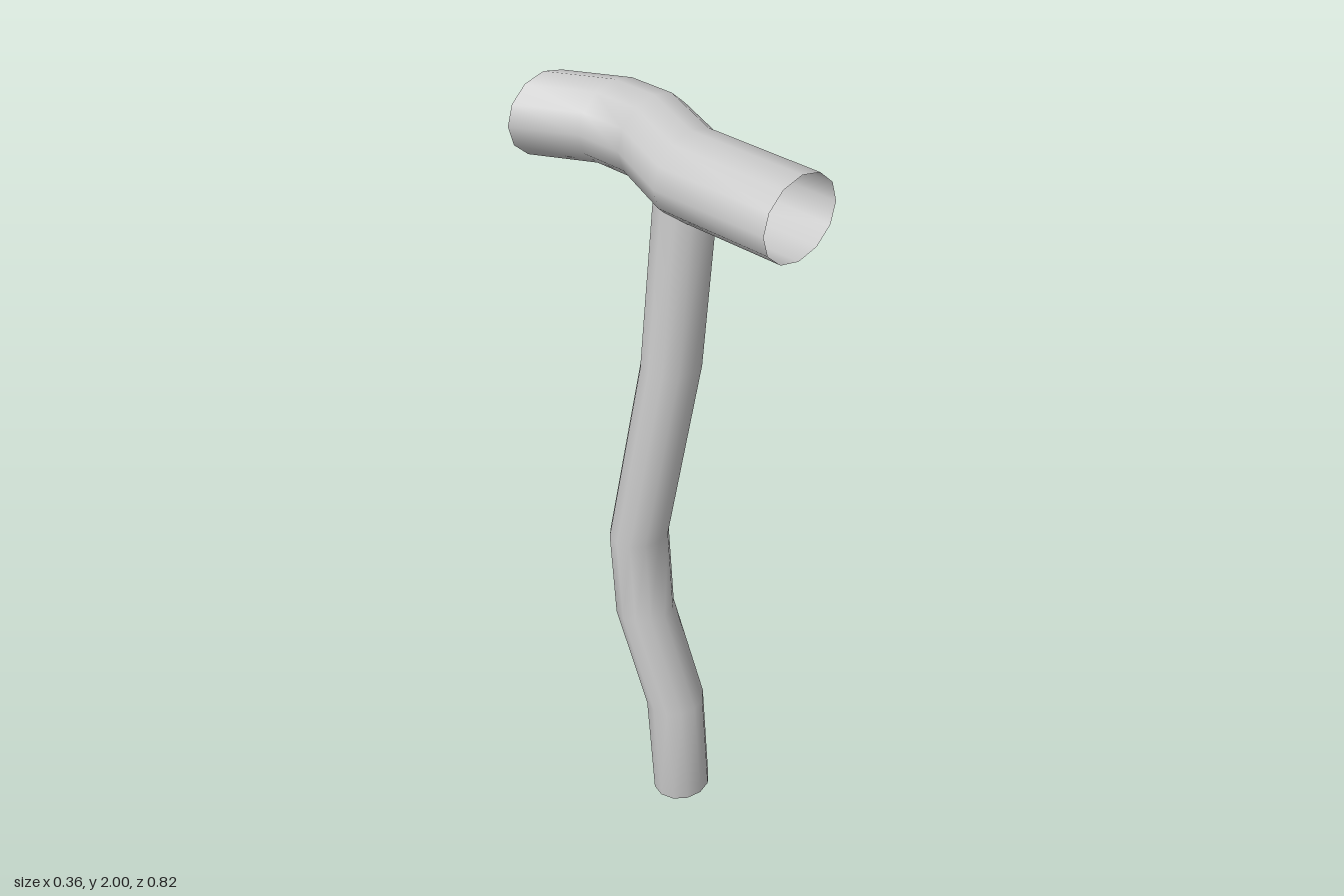
import * as THREE from 'three';

const SIDES = 12;
const material = new THREE.MeshStandardMaterial({ color: 0xcccccc, side: THREE.DoubleSide });

// Open tube lofted through parallel elliptical rings.
// u and v are the ring's half axes; u x v points along the path.
function bentTube(name, centres, u, v) {
  const positions = [], indices = [];
  const p = new THREE.Vector3();
  centres.forEach((centre, ring) => {
    for (let i = 0; i < SIDES; i++) {
      const a = (i / SIDES) * Math.PI * 2;
      p.set(...centre).addScaledVector(u, Math.cos(a)).addScaledVector(v, Math.sin(a));
      positions.push(p.x, p.y, p.z);
      if (ring === 0) continue;
      const next = (i + 1) % SIDES;
      const low = (ring - 1) * SIDES, high = ring * SIDES;
      indices.push(low + i, low + next, high + next, low + i, high + next, high + i);
    }
  });
  const geometry = new THREE.BufferGeometry();
  geometry.setAttribute('position', new THREE.Float32BufferAttribute(positions, 3));
  geometry.setIndex(indices);
  geometry.computeVertexNormals();
  const mesh = new THREE.Mesh(geometry, material);
  mesh.name = name;
  return mesh;
}

export function createModel() {
  const group = new THREE.Group();
  group.name = 'walkingStick';

  // Crooked shaft, rings level from the foot up into the handle
  group.add(bentTube('shaft', [
    [-0.04, 0, 0.07],
    [-0.073, 0.34, 0.076],
    [-0.087, 0.615, -0.022],
    [-0.097, 0.865, -0.031],
    [-0.05, 1.385, 0.041],
    [-0.029, 1.838, 0.067],
  ], new THREE.Vector3(0, 0, 0.073), new THREE.Vector3(0.083, 0, 0)));

  // Kinked hollow crossbar, rings upright from back to front
  group.add(bentTube('handle', [
    [-0.026, 1.895, -0.408],
    [0.058, 1.895, -0.252],
    [0.058, 1.895, -0.12],
    [-0.026, 1.895, 0.077],
    [-0.026, 1.895, 0.408],
  ], new THREE.Vector3(0.121, 0, 0), new THREE.Vector3(0, 0.105, 0)));

  return group;
}
